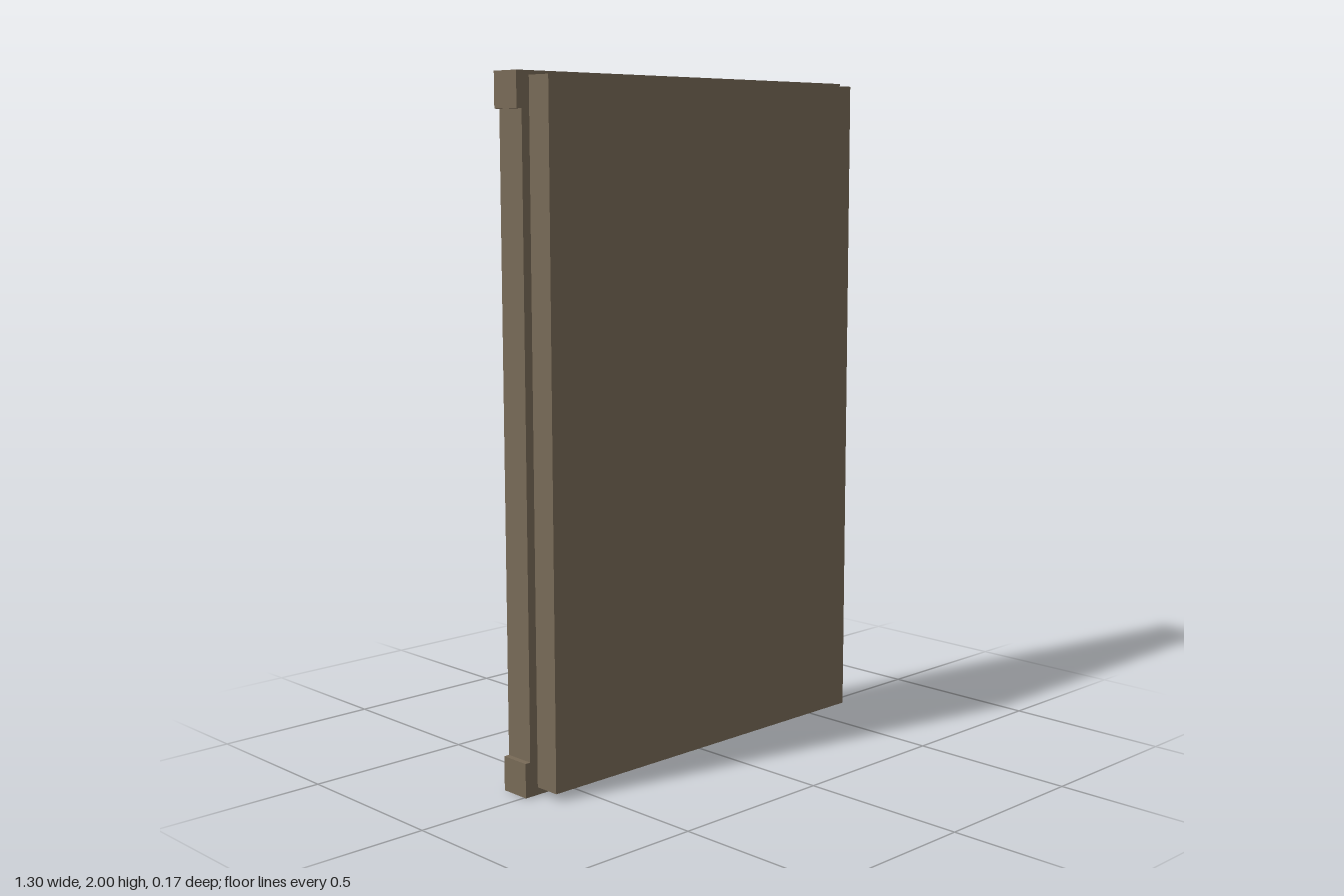
import * as THREE from 'three';

export function createModel() {
  const root = new THREE.Group();
  root.name = 'crackedMirror';

  const wood = new THREE.MeshStandardMaterial({ color: 0x786a57 });
  wood.name = 'brown wood';
  const glass = new THREE.MeshStandardMaterial({ color: 0x748080 });
  glass.name = 'grey blue glass';
  const crackMat = new THREE.MeshStandardMaterial({ color: 0x79736a });
  crackMat.name = 'crack grey';

  // Box given by its minimum and maximum corners
  function box(name, material, min, max, parent = root) {
    const size = max.map((v, i) => v - min[i]);
    const mesh = new THREE.Mesh(new THREE.BoxGeometry(...size), material);
    mesh.position.set(...max.map((v, i) => (v + min[i]) / 2));
    mesh.name = name;
    parent.add(mesh);
    return mesh;
  }

  const BACK = -0.087, SEAM = 0.007, FRONT = 0.087, GLASS = -0.02;

  // Solid backing panel on the front side
  box('backingPanel', wood, [-0.607, 0.022, SEAM], [0.607, 1.988, FRONT]);

  // Frame: wide rails top and bottom, slightly inset stiles between them
  box('bottomRail', wood, [-0.65, 0, BACK], [0.65, 0.1, SEAM]);
  box('topRail', wood, [-0.65, 1.9, BACK], [0.65, 2, SEAM]);
  box('leftStile', wood, [0.54, 0.1, BACK], [0.633, 1.9, SEAM]);
  box('rightStile', wood, [-0.633, 0.1, BACK], [-0.54, 1.9, SEAM]);

  // Recessed mirror glass facing the back
  box('mirrorGlass', glass, [-0.54, 0.1, GLASS], [0.54, 1.9, SEAM]);

  // Cracks: thin strips along two broken lines
  const cracks = new THREE.Group();
  cracks.name = 'cracks';
  root.add(cracks);
  const lines = [
    [[-0.44, 1.8], [-0.03, 1.41], [-0.12, 1.01], [0.24, 0.69], [0.4, 0.21]],
    [[-0.03, 1.41], [0.215, 1.24], [0.1, 0.96]],
  ];
  for (const line of lines) {
    for (let i = 1; i < line.length; i++) {
      const [ax, ay] = line[i - 1], [bx, by] = line[i];
      const strip = new THREE.Mesh(
        new THREE.BoxGeometry(Math.hypot(bx - ax, by - ay), 0.012, 0.009), crackMat);
      strip.position.set((ax + bx) / 2, (ay + by) / 2, GLASS - 0.003);
      strip.rotation.z = Math.atan2(by - ay, bx - ax);
      strip.name = 'crackStrip';
      cracks.add(strip);
    }
  }
  return root;
}
